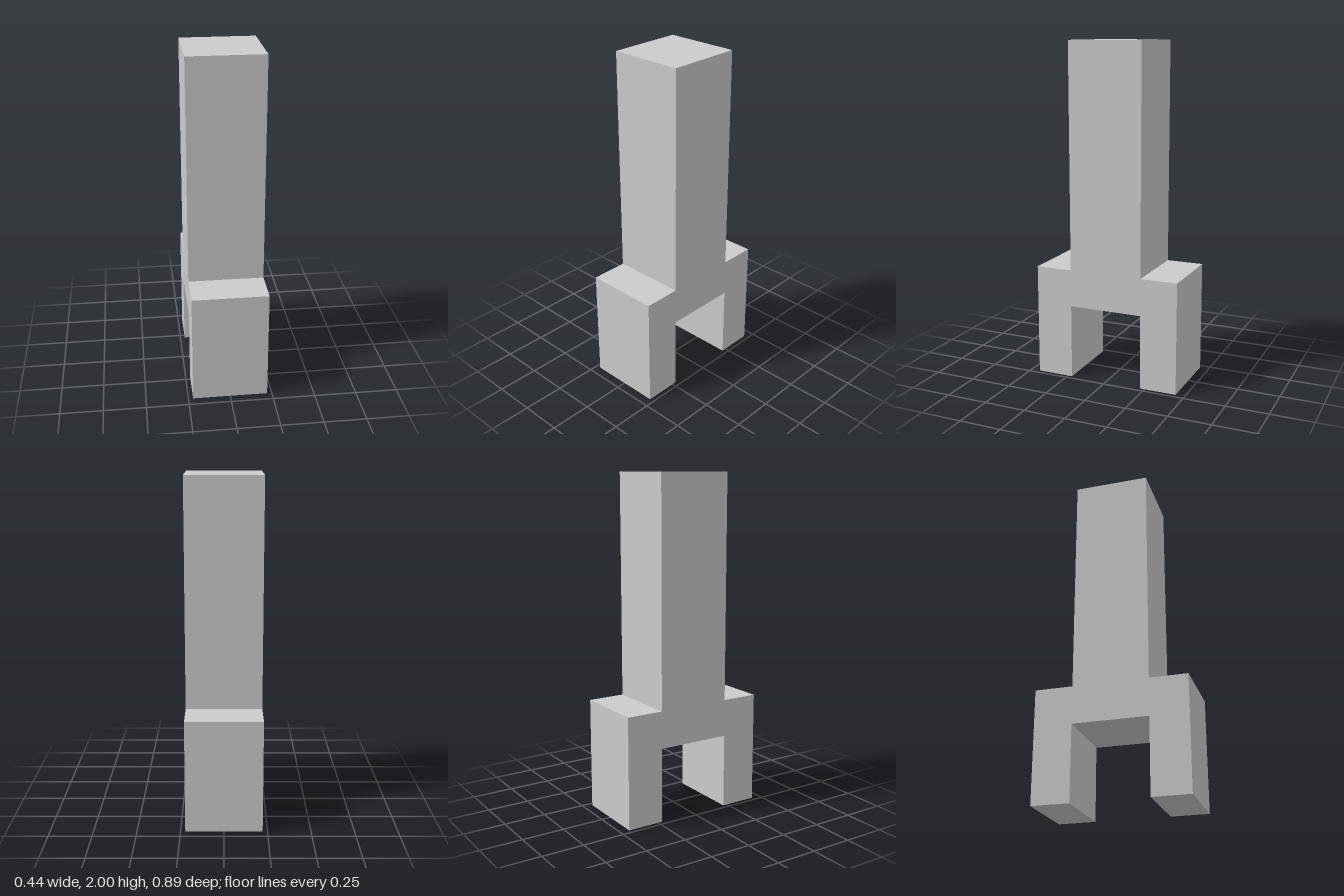
import * as THREE from 'three';

const U = 2 / 9; // leg thickness; every dimension is a multiple of it

export function createModel() {
  const model = new THREE.Group();
  model.name = 'forkedPost';

  // One half of the side outline (depth, height), from inner foot to post top
  const half = [[1, 0], [2, 0], [2, 3], [1, 3], [1, 9]];
  const mirrored = half.map(([d, h]) => [-d, h]).reverse();
  const outline = [[1, 2], ...half, ...mirrored, [-1, 2]];
  const shape = new THREE.Shape(outline.map(([d, h]) => new THREE.Vector2(d * U, h * U)));

  // Post and two legs as a single solid, extruded across the width
  const geometry = new THREE.ExtrudeGeometry(shape, { depth: 2 * U, bevelEnabled: false });
  geometry.translate(0, 0, -U);
  geometry.rotateY(Math.PI / 2);

  const material = new THREE.MeshStandardMaterial({ color: 0xcccccc, flatShading: true });
  const post = new THREE.Mesh(geometry, material);
  post.name = 'postWithLegs';
  model.add(post);
  return model;
}
